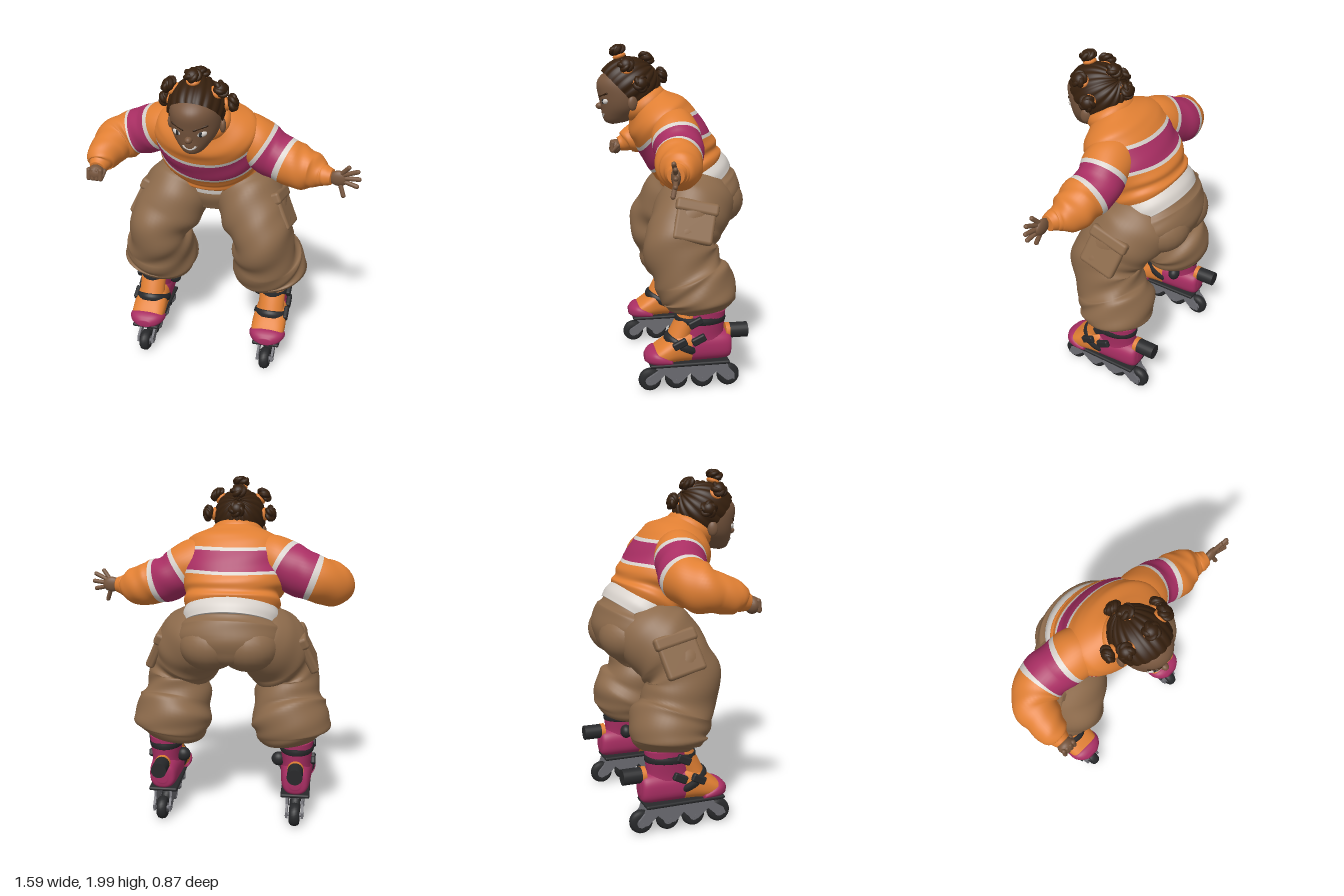
import * as THREE from 'three';
import { RoundedBoxGeometry } from 'three/addons/geometries/RoundedBoxGeometry.js';

const mat = (name, color) => Object.assign(new THREE.MeshStandardMaterial({ color, side: THREE.DoubleSide }), { name });
const V = (x, y, z) => new THREE.Vector3(x, y, z);
const CX = -0.095; // body centre line

export function createModel() {
  const root = new THREE.Group();
  root.name = 'skater';
  const orange = mat('orange', 0xe07f33), magenta = mat('magenta', 0xa92e63), white = mat('white', 0xd8d2cc);
  const brown = mat('trouserBrown', 0x8c6a4b), skin = mat('skin', 0x77563e), hair = mat('hairBrown', 0x351f0d);
  const black = mat('black', 0x28292b), grey = mat('grey', 0x6c6c72);
  const stripes = [orange, white, magenta];

  const add = (parent, name, geo, m, x = 0, y = 0, z = 0) => {
    const mesh = new THREE.Mesh(geo, m);
    mesh.name = name;
    mesh.position.set(x, y, z);
    parent.add(mesh);
    return mesh;
  };
  const box = (p, name, m, w, h, d, x, y, z, r = 0.01) =>
    add(p, name, new RoundedBoxGeometry(w, h, d, 2, Math.min(r, w / 2.1, h / 2.1, d / 2.1)), m, x, y, z);
  const ball = (p, name, m, x, y, z, sx, sy = sx, sz = sx) => {
    const b = add(p, name, new THREE.SphereGeometry(1, 24, 16), m, x, y, z);
    b.scale.set(sx, sy, sz);
    return b;
  };
  const rod = (p, name, m, a, b, r) => {
    const d = b.clone().sub(a), c = a.clone().add(b).multiplyScalar(0.5);
    const mesh = add(p, name, new THREE.CapsuleGeometry(r, d.length(), 4, 10), m, c.x, c.y, c.z);
    mesh.quaternion.setFromUnitVectors(V(0, 1, 0), d.normalize());
    return mesh;
  };

  // Skin of cross-sections [x, y, z, radiusA, radiusB] along a smooth path; axis keeps sections parallel, lift bends them
  function loft(p, name, m, pts, { ref = V(1, 0, 0), axis, n = 2, fold, lift, band, seg = 48, around = 40 } = {}) {
    const path = new THREE.CatmullRomCurve3(pts.map(q => V(q[0], q[1], q[2])), false, 'catmullrom', 0.5);
    const size = new THREE.CatmullRomCurve3(pts.map(q => V(q[3], q[4] ?? q[3], 0)), false, 'catmullrom', 0.5);
    const pos = [], idx = [], geo = new THREE.BufferGeometry();
    const pw = v => Math.sign(v) * Math.abs(v) ** (2 / n);
    for (let i = 0; i <= seg; i++) {
      const u = i / seg, c = path.getPoint(u), r = size.getPoint(u), T = axis ?? path.getTangent(u);
      const A = ref.clone().addScaledVector(T, -ref.dot(T)).normalize(), B = T.clone().cross(A);
      for (let j = 0; j < around; j++) {
        const a = j / around * Math.PI * 2, k = 1 + (fold ? fold(a, u) : 0);
        const q = c.clone().addScaledVector(A, pw(Math.cos(a)) * r.x * k).addScaledVector(B, pw(Math.sin(a)) * r.y * k);
        if (lift) q.addScaledVector(T, lift(a, u));
        pos.push(q.x, q.y, q.z);
      }
    }
    const last = seg * around, cap = (seg + 1) * around;
    for (const u of [0, 1]) pos.push(...path.getPoint(u).toArray());
    for (let i = 0; i < seg; i++) {
      const start = idx.length;
      for (let j = 0; j < around; j++) {
        const k = (j + 1) % around, a = i * around + j, b = i * around + k;
        if (i === 0) idx.push(cap, k, j);
        idx.push(a, b, a + around, b, b + around, a + around);
        if (i === seg - 1) idx.push(cap + 1, last + j, last + k);
      }
      if (band) geo.addGroup(start, idx.length - start, band(path.getPoint((i + 0.5) / seg)));
    }
    geo.setAttribute('position', new THREE.Float32BufferAttribute(pos, 3));
    geo.setIndex(idx);
    geo.computeVertexNormals();
    return add(p, name, geo, m);
  }
  // Soft cloth creases
  const crease = (amp, f, w) => (a, u) => amp * Math.sin(Math.PI * u) *
    (Math.sin(f * u + 2 * Math.sin(a + w)) + 0.6 * Math.sin(f * 1.7 * u - 3 * a + w));

  // Trousers
  loft(root, 'trouserSeat', brown, [[CX, 1.205, -0.165, 0.265, 0.2], [CX, 1.15, -0.185, 0.305, 0.225],
    [CX, 1.08, -0.22, 0.31, 0.22], [CX, 1.02, -0.24, 0.26, 0.18], [CX, 0.98, -0.24, 0.12, 0.09]], { fold: crease(0.01, 14, 1) });
  for (const s of [-1, 1]) {
    const X = d => CX + s * d;
    ball(root, 'seatCheek', brown, X(0.11), 1.075, -0.255, 0.18, 0.15, 0.172);
    loft(root, 'trouserLeg', brown, [[X(0.13), 1.18, -0.19, 0.14, 0.175], [X(0.195), 1.09, -0.14, 0.2, 0.22],
      [X(0.275), 0.96, -0.045, 0.205, 0.21], [X(0.33), 0.83, -0.01, 0.178, 0.21], [X(0.335), 0.69, -0.06, 0.21, 0.212],
      [X(0.355), 0.59, -0.11, 0.23, 0.225], [X(0.365), 0.51, -0.125, 0.205, 0.195], [X(0.375), 0.465, -0.13, 0.13, 0.14]],
    { fold: crease(0.036, 32, s), seg: 80, around: 48 });
    const pocket = new THREE.Group();
    pocket.name = 'cargoPocket';
    pocket.position.set(X(0.43), 1.03, -0.075);
    pocket.rotation.set(-0.22, s * -0.08, s * 0.42);
    box(pocket, 'pocketBag', brown, 0.055, 0.22, 0.23, 0, -0.02, 0, 0.02);
    box(pocket, 'pocketFlap', brown, 0.075, 0.075, 0.25, 0, 0.075, 0, 0.02);
    root.add(pocket);
  }

  // Leaning upper body: a is the distance along the spine from the hem
  const spine = (a, rx, rb) => [CX, 1.24 + 0.84 * a, -0.14 + 0.54 * a, rx, rb];
  loft(root, 'undershirt', white, [spine(-0.085, 0.272, 0.212), spine(-0.03, 0.28, 0.214), spine(0.04, 0.26, 0.19)]);
  loft(root, 'sweaterBody', stripes, [spine(0, 0.255, 0.19), spine(0.025, 0.28, 0.207), spine(0.055, 0.27, 0.2),
    spine(0.1, 0.3, 0.215), spine(0.2, 0.305, 0.212), spine(0.32, 0.3, 0.205), spine(0.4, 0.27, 0.19),
    spine(0.47, 0.19, 0.14), spine(0.53, 0.11, 0.1)], {
    n: 2.2, seg: 80, around: 56, fold: crease(0.012, 26, 2),
    lift: (a, u) => 0.07 * Math.cos(a) ** 2 * Math.sin(Math.PI * u),
    band: c => { const a = (c.y - 1.24) / 0.84; return a > 0.16 && a < 0.285 ? 2 : a > 0.135 && a < 0.31 ? 1 : 0; }
  });
  const collar = add(root, 'collar', new THREE.TorusGeometry(0.105, 0.036, 14, 40), orange, CX, 1.65, 0.15);
  collar.rotation.x = -Math.PI / 2 + 0.57;
  collar.scale.set(1.15, 1, 1.4);
  rod(root, 'neck', skin, V(CX, 1.56, 0.12), V(CX, 1.67, 0.22), 0.07);

  // Sleeves
  const sleeveBand = (inner, outer) => c => {
    const d = Math.abs(c.x - CX);
    return d > inner && d < outer ? 2 : d > inner - 0.025 && d < outer + 0.025 ? 1 : 0;
  };
  const up = V(0, 1, 0);
  loft(root, 'leftSleeve', stripes, [[0.0, 1.55, 0.03, 0.1], [0.13, 1.505, 0.01, 0.14], [0.27, 1.42, 0.005, 0.135],
    [0.4, 1.37, 0.03, 0.13], [0.51, 1.35, 0.045, 0.11], [0.57, 1.345, 0.07, 0.068], [0.595, 1.345, 0.08, 0.058],
    [0.63, 1.345, 0.088, 0.045]], { ref: up, seg: 84, fold: crease(0.035, 30, 1), band: sleeveBand(0.315, 0.435) });
  loft(root, 'rightSleeve', stripes, [[-0.18, 1.56, 0.03, 0.1], [-0.33, 1.53, 0.0, 0.14], [-0.46, 1.47, -0.04, 0.138],
    [-0.58, 1.425, -0.05, 0.135], [-0.66, 1.39, 0.0, 0.125], [-0.69, 1.365, 0.09, 0.105], [-0.7, 1.34, 0.175, 0.085],
    [-0.7, 1.325, 0.205, 0.06], [-0.7, 1.315, 0.24, 0.045]], { ref: up, seg: 84, fold: crease(0.035, 30, 3), band: sleeveBand(0.31, 0.445) });

  // Open left hand and right fist
  ball(root, 'leftPalm', skin, 0.668, 1.345, 0.095, 0.055, 0.046, 0.024);
  for (const [x, y] of [[0.72, 1.425], [0.77, 1.405], [0.78, 1.36], [0.77, 1.315], [0.7, 1.25]])
    rod(root, 'leftFinger', skin, V(0.675, 1.345 + (y - 1.345) * 0.3, 0.097), V(x, y, 0.115), 0.013);
  ball(root, 'rightFist', skin, -0.7, 1.3, 0.262, 0.05, 0.048, 0.04);
  for (let i = 0; i < 4; i++)
    rod(root, 'rightFinger', skin, V(-0.735 + i * 0.023, 1.325, 0.282), V(-0.735 + i * 0.023, 1.275, 0.288), 0.014);
  rod(root, 'rightThumb', skin, V(-0.655, 1.31, 0.25), V(-0.665, 1.275, 0.285), 0.014);

  // Head
  const head = new THREE.Group();
  head.name = 'head';
  head.position.x = CX - 0.007;
  root.add(head);
  loft(head, 'face', skin, [[0, 1.53, 0.335, 0.02, 0.02], [0, 1.545, 0.315, 0.055, 0.068], [0, 1.58, 0.29, 0.088, 0.108],
    [0, 1.63, 0.264, 0.122, 0.142], [0, 1.69, 0.25, 0.138, 0.168], [0, 1.76, 0.25, 0.138, 0.179], [0, 1.81, 0.24, 0.124, 0.163],
    [0, 1.855, 0.235, 0.08, 0.1], [0, 1.875, 0.235, 0.03, 0.03]], { axis: up });
  ball(head, 'nose', skin, 0, 1.635, 0.41, 0.021, 0.02, 0.026);
  for (const s of [-1, 1]) {
    ball(head, 'ear', skin, s * 0.142, 1.66, 0.235, 0.018, 0.042, 0.03).rotation.y = s * 0.3;
    ball(head, 'eye', white, s * 0.068, 1.667, 0.387, 0.028, 0.016, 0.012).rotation.set(0, s * 0.5, s * 0.15);
    ball(head, 'pupil', black, s * 0.064, 1.667, 0.397, 0.012, 0.015, 0.005).rotation.y = s * 0.5;
    rod(head, 'eyebrow', hair, V(s * 0.03, 1.693, 0.413), V(s * 0.095, 1.713, 0.38), 0.006);
  }
  const smile = add(head, 'smile', new THREE.TorusGeometry(0.04, 0.008, 8, 20, Math.PI * 0.7), white, 0, 1.615, 0.39);
  smile.rotation.z = -Math.PI * 0.85;

  // Braided scalp, ridges running back to the crown
  const scalp = new THREE.SphereGeometry(1, 112, 28, 0, Math.PI * 2, 0, 1.88);
  const sp = scalp.attributes.position;
  for (let i = 0; i < sp.count; i++) {
    const k = 0.98 + 0.045 * Math.abs(Math.sin(9 * Math.atan2(sp.getZ(i), sp.getX(i))));
    sp.setXYZ(i, sp.getX(i) * k, sp.getY(i) * k, sp.getZ(i) * k);
  }
  scalp.rotateX(-0.86).scale(0.153, 0.165, 0.184).computeVertexNormals();
  add(head, 'braidedScalp', scalp, hair, 0, 1.75, 0.24);
  const buns = [[0, 1.955, 0.305], [0, 1.91, 0.135], [0, 1.81, 0.045]];
  for (const s of [-1, 1]) buns.push([s * 0.142, 1.88, 0.27], [s * 0.187, 1.775, 0.19]);
  for (const b of buns) {
    const bun = new THREE.Group(), dir = V(...b).sub(V(0, 1.75, 0.236)).normalize();
    bun.name = 'hairBun';
    bun.position.set(...b);
    bun.quaternion.setFromUnitVectors(V(0, 0, 1), dir);
    ball(bun, 'bunCore', hair, 0, 0, 0, 0.04, 0.04, 0.034);
    add(bun, 'bunTwist', new THREE.TorusKnotGeometry(0.026, 0.014, 64, 8, 2, 5), hair);
    add(bun, 'hairTie', new THREE.TorusGeometry(0.028, 0.011, 8, 20), orange, 0, 0, -0.035);
    head.add(bun);
  }

  // Inline skates
  const rail = new THREE.Shape([[0.21, 0.065], [0.195, 0.1], [0.14, 0.135], [0.13, 0.165], [-0.27, 0.165], [-0.28, 0.13], [-0.315, 0.09],
    [-0.315, 0.055], [-0.26, 0.06], [-0.205, 0.11], [-0.15, 0.06], [-0.1, 0.06], [-0.05, 0.11], [0, 0.06], [0.04, 0.06], [0.1, 0.11], [0.16, 0.055]]
    .map(q => new THREE.Vector2(...q)));
  const railGeo = new THREE.ExtrudeGeometry(rail, { depth: 0.014, bevelEnabled: false }).translate(0, 0, -0.007).rotateY(-Math.PI / 2);
  const tyre = new THREE.LatheGeometry([[0.03, -0.028], [0.05, -0.03], [0.063, -0.02], [0.068, 0], [0.063, 0.02], [0.05, 0.03], [0.03, 0.028]]
    .map(q => new THREE.Vector2(...q)), 28).rotateZ(Math.PI / 2);
  const hub = new THREE.CylinderGeometry(0.033, 0.033, 0.05, 20).rotateZ(Math.PI / 2);
  const bolt = new THREE.CylinderGeometry(0.013, 0.013, 0.11, 12).rotateZ(Math.PI / 2);
  for (const s of [-1, 1]) {
    const skate = new THREE.Group();
    skate.name = s > 0 ? 'leftSkate' : 'rightSkate';
    skate.position.x = CX + s * 0.392;
    root.add(skate);
    for (const z of [0.182, 0.025, -0.13, -0.287]) {
      add(skate, 'wheel', tyre, black, 0, 0.069, z);
      add(skate, 'wheelHub', hub, grey, 0, 0.069, z);
      add(skate, 'axleBolt', bolt, grey, 0, 0.069, z);
    }
    for (const x of [-0.046, 0.046]) add(skate, 'frameRail', railGeo, grey, x);
    box(skate, 'frameTop', grey, 0.09, 0.02, 0.36, 0, 0.156, -0.065);
    box(skate, 'sole', black, 0.17, 0.022, 0.47, 0, 0.177, -0.045, 0.01);
    // Boot: magenta heel, orange foot, low magenta toe cap
    loft(skate, 'bootFoot', [orange, magenta], [[0, 0.27, -0.3, 0.03, 0.04], [0, 0.27, -0.275, 0.075, 0.08], [0, 0.275, -0.15, 0.09, 0.09],
      [0, 0.28, 0, 0.1, 0.096], [0, 0.25, 0.09, 0.104, 0.07], [0, 0.225, 0.16, 0.092, 0.045], [0, 0.218, 0.205, 0.045, 0.028]],
    { n: 2.5, axis: V(0, 0, 1), band: c => (c.z < -0.06 ? 1 : 0) });
    loft(skate, 'toeCap', magenta, [[0, 0.2, 0.06, 0.1, 0.018], [0, 0.217, 0.11, 0.112, 0.038], [0, 0.225, 0.155, 0.105, 0.048],
      [0, 0.222, 0.19, 0.08, 0.04], [0, 0.216, 0.214, 0.04, 0.022]], { n: 2.5, axis: V(0, 0, 1), seg: 24 });
    loft(skate, 'bootShaft', magenta, [[0, 0.24, -0.14, 0.085, 0.14], [0, 0.34, -0.125, 0.085, 0.13],
      [0, 0.44, -0.135, 0.095, 0.125], [0, 0.5, -0.14, 0.1, 0.125]], { seg: 20 });
    loft(skate, 'bootTongue', orange, [[0, 0.28, 0.035, 0.085, 0.07], [0, 0.36, 0.0, 0.08, 0.065],
      [0, 0.44, -0.035, 0.08, 0.06], [0, 0.52, -0.05, 0.075, 0.045]], { seg: 20 });
    loft(skate, 'ankleStrap', black, [[0, 0.42, -0.115, 0.1, 0.147], [0, 0.44, -0.115, 0.104, 0.15], [0, 0.46, -0.115, 0.1, 0.147]], { seg: 8 });
    loft(skate, 'instepStrap', black, [[0, 0.268, -0.005, 0.104, 0.118], [0, 0.288, -0.015, 0.11, 0.124], [0, 0.308, -0.025, 0.104, 0.118]], { seg: 8 });
    for (const [y, z] of [[0.44, -0.07], [0.335, -0.09], [0.315, 0.02]])
      box(skate, 'buckle', black, 0.03, 0.045, 0.085, s * 0.098, y, z).rotation.x = 0.45;
    ball(skate, 'cuffPivot', black, -s * 0.105, 0.36, -0.15, 0.042, 0.042, 0.036);
    add(skate, 'brake', new THREE.CylinderGeometry(0.045, 0.045, 0.12, 24), black, 0, 0.345, -0.337).rotation.x = Math.PI / 2;
    add(skate, 'brakeRing', new THREE.CylinderGeometry(0.047, 0.047, 0.025, 24), orange, 0, 0.345, -0.277).rotation.x = Math.PI / 2;
  }
  return root;
}
